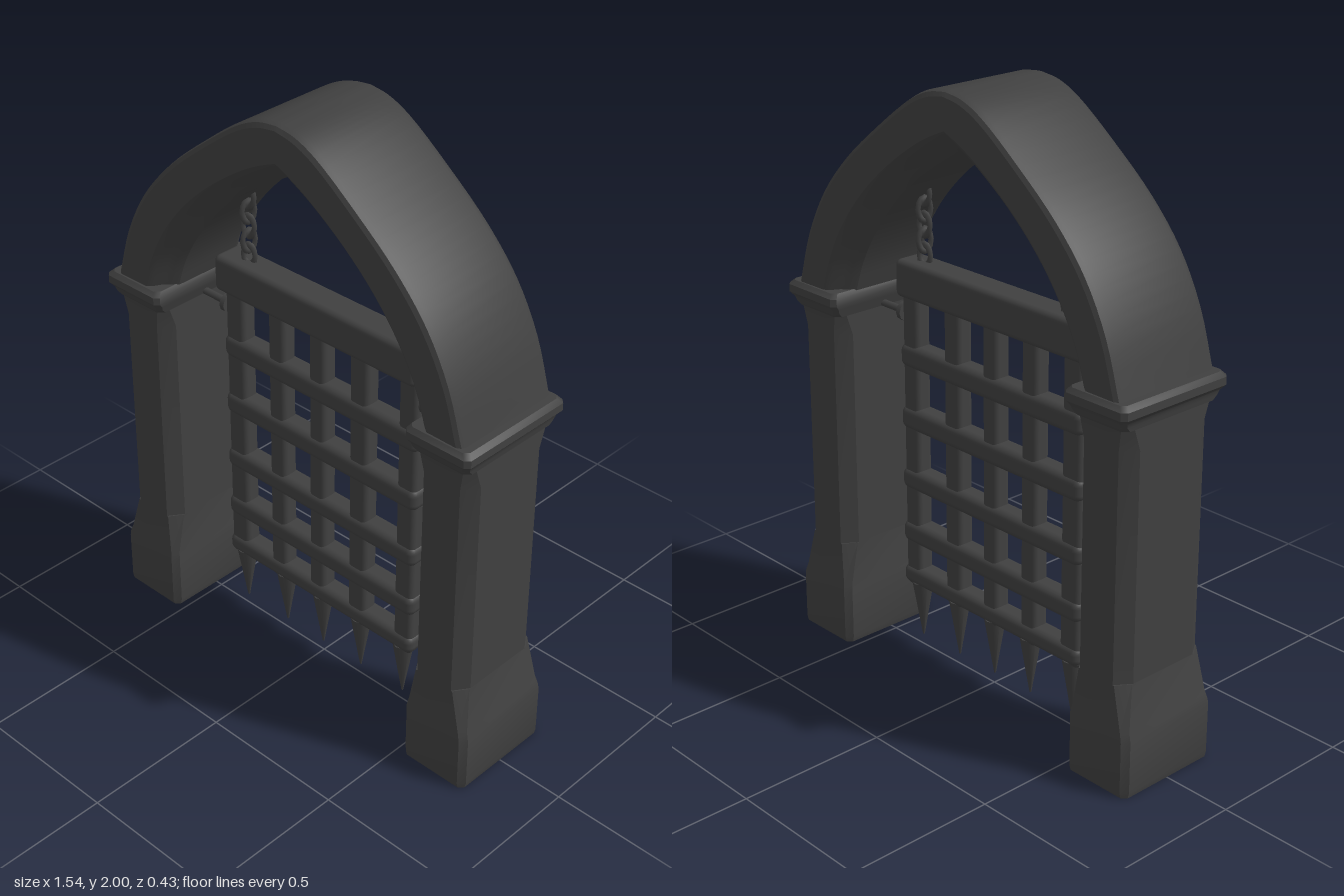
import * as THREE from 'three';
import { toCreasedNormals } from 'three/addons/utils/BufferGeometryUtils.js';
import { RoundedBoxGeometry } from 'three/addons/geometries/RoundedBoxGeometry.js';

const iron = new THREE.MeshStandardMaterial({ color: 0x404040 });
iron.name = 'dark iron grey';

// Skin a list of closed rings (each counter-clockwise seen from the far end), capped at both ends
function loft(rings, crease = 0.6) {
  const n = rings[0].length, index = [];
  const last = (rings.length - 1) * n;
  for (let i = 0; i < rings.length - 1; i++) {
    for (let j = 0; j < n; j++) {
      const a = i * n + j, b = i * n + (j + 1) % n;
      index.push(a, b, b + n, a, b + n, a + n);
    }
  }
  for (let j = 1; j < n - 1; j++) {
    index.push(0, j + 1, j, last, last + j, last + j + 1);
  }
  const g = new THREE.BufferGeometry();
  g.setAttribute('position', new THREE.Float32BufferAttribute(rings.flat(2), 3));
  g.setIndex(index);
  return toCreasedNormals(g, crease);
}

// Horizontal rectangle with cut corners
function slab(y, x0, x1, hz, cx, cz = cx) {
  return [[x1, hz - cz], [x1, cz - hz], [x1 - cx, -hz], [x0 + cx, -hz],
    [x0, cz - hz], [x0, hz - cz], [x0 + cx, hz], [x1 - cx, hz]].map(([x, z]) => [x, y, z]);
}

function add(parent, name, geometry, x = 0, y = 0, z = 0) {
  const mesh = new THREE.Mesh(geometry, iron);
  mesh.name = name;
  mesh.position.set(x, y, z);
  parent.add(mesh);
  return mesh;
}

// Pillar on +x, or turned round to -x; one has a hollow foot
function pillar(name, hollow) {
  const g = new THREE.Group();
  g.name = name;
  const foot = [
    slab(0, 0.525, 0.765, 0.185, 0.015),
    slab(0.02, 0.52, 0.77, 0.19, 0.02),
    slab(0.19, 0.52, 0.77, 0.19, 0.02),
    slab(0.22, 0.525, 0.76, 0.185, 0.02),
    slab(0.36, 0.53, 0.735, 0.178, 0.03, 0.045),
  ];
  if (hollow) foot.unshift(slab(0.1, 0.56, 0.73, 0.15, 0.01), slab(0, 0.56, 0.73, 0.15, 0.01));
  add(g, 'foot', loft(foot));
  add(g, 'shaft', loft([
    slab(0.35, 0.53, 0.735, 0.178, 0.035, 0.05),
    slab(1.1, 0.53, 0.735, 0.178, 0.035, 0.05),
    slab(1.18, 0.53, 0.735, 0.185, 0.02, 0.03),
  ]));
  add(g, 'capital', loft([
    slab(1.17, 0.53, 0.735, 0.19, 0.02),
    slab(1.185, 0.525, 0.738, 0.2, 0.015),
    slab(1.2, 0.52, 0.742, 0.205, 0.015),
    slab(1.215, 0.515, 0.755, 0.217, 0.015),
    slab(1.24, 0.515, 0.755, 0.217, 0.015),
    slab(1.255, 0.525, 0.74, 0.205, 0.015),
  ]));
  return g;
}

// Pointed arch: one section swept between an inner and an outer curve
function archGeometry() {
  const curve = (pts) => new THREE.CatmullRomCurve3(pts.map(([x, y]) => new THREE.Vector3(x, y, 0)));
  const outer = curve([[0.72, 1.24], [0.66, 1.43], [0.575, 1.585], [0.46, 1.715], [0.31, 1.84], [0.15, 1.955], [0.07, 1.99], [0, 2]]);
  const inner = curve([[0.525, 1.24], [0.485, 1.35], [0.425, 1.455], [0.34, 1.565], [0.235, 1.665], [0.12, 1.745], [0.055, 1.785], [0, 1.82]]);
  const half = [[1, 0.175], [1, -0.175], [0.97, -0.192], [0.9, -0.2], [0.34, -0.198], [0.25, -0.185], [0.17, -0.155], [0.08, -0.14], [0, -0.115]];
  const section = [...half, ...half.slice(2).reverse().map(([t, z]) => [t, -z])];
  const N = 28, rings = [];
  for (let i = 0; i <= 2 * N; i++) {
    const side = i <= N ? 1 : -1, u = (i <= N ? i : 2 * N - i) / N;
    const o = outer.getPoint(u), p = inner.getPoint(u);
    rings.push(section.map(([t, z]) => {
      const q = p.clone().lerp(o, t);
      return [side * q.x, q.y, z];
    }));
  }
  return loft(rings, 0.5);
}

// Chain of alternating links with a ring at the foot
function chain(name, x) {
  const g = new THREE.Group();
  g.name = name;
  for (let i = 0; i < 5; i++) {
    const link = add(g, 'chainLink', new THREE.TorusGeometry(0.021, 0.009, 6, 12), x, 1.39 + i * 0.05, 0);
    link.scale.y = 1.6;
    link.rotation.y = i % 2 ? 1.2 : 0.25;
  }
  return g;
}

export function createModel() {
  const model = new THREE.Group();
  model.name = 'portcullisGate';

  model.add(pillar('leftPillar', false));
  const right = pillar('rightPillar', true);
  right.rotation.y = Math.PI;
  model.add(right);
  add(model, 'arch', archGeometry());

  // Lattice gate
  const gate = new THREE.Group();
  gate.name = 'gate';
  model.add(gate);
  add(gate, 'topBeam', new RoundedBoxGeometry(0.835, 0.125, 0.11, 3, 0.02), -0.01, 1.308, 0);
  for (const [y, h] of [[1.045, 0.08], [0.83, 0.078], [0.615, 0.073], [0.422, 0.075], [0.265, 0.065]]) {
    add(gate, 'crossBar', new RoundedBoxGeometry(0.82, h, 0.08, 3, 0.025), 0, y, 0);
  }
  for (const [x, w] of [[-0.365, 0.08], [-0.182, 0.069], [-0.007, 0.067], [0.168, 0.075], [0.366, 0.073]]) {
    add(gate, 'uprightBar', new RoundedBoxGeometry(w, 1.04, 0.062, 3, 0.018), x, 0.745, 0);
  }

  // Spikes under the uprights
  for (const x of [-0.36, -0.17, -0.003, 0.168, 0.352]) {
    const spike = new THREE.CylinderGeometry(0.036, 0.003, 0.2, 10);
    add(gate, 'spike', spike, x, 0.138, 0);
  }

  // Guide pins from the pillars and hanging chains
  for (const s of [-1, 1]) {
    const label = s > 0 ? 'left' : 'right';
    const pin = add(model, label + 'GuidePin', new THREE.CylinderGeometry(0.012, 0.012, 0.16, 8), s * 0.47, 1.18, 0);
    pin.rotation.z = Math.PI / 2;
    const collar = add(model, label + 'PinCollar', new THREE.CylinderGeometry(0.032, 0.032, 0.018, 10), s * 0.42, 1.18, 0);
    collar.rotation.z = Math.PI / 2;
    model.add(chain(label + 'Chain', s * 0.32));
  }
  return model;
}
